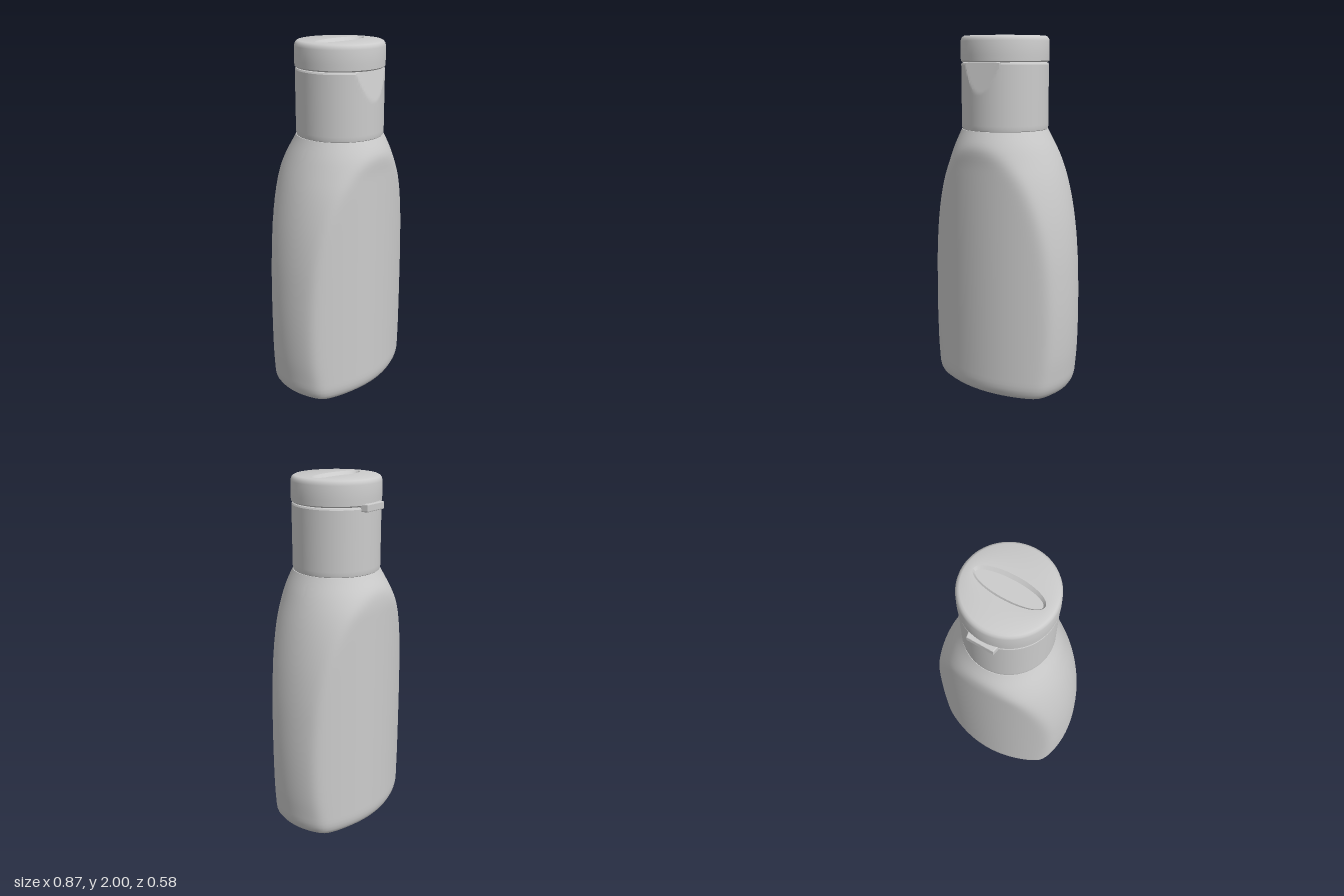
import * as THREE from 'three';
import { toCreasedNormals } from 'three/addons/utils/BufferGeometryUtils.js';

const SEG = 120;
const CAP_Z = 0.012; // the cap sits slightly forward of the bottle's centre
const material = new THREE.MeshStandardMaterial({ color: 0xcccccc });

// Skins a stack of closed rings; ring(row, angle) returns [x, y, z].
function loft(name, rows, ring, crease = 0.6) {
  const pos = [], index = [];
  rows.forEach((row, i) => {
    for (let j = 0; j < SEG; j++) {
      pos.push(...ring(row, (j / SEG) * Math.PI * 2));
      if (i === 0) continue;
      const k = (j + 1) % SEG, lo = (i - 1) * SEG, hi = i * SEG;
      index.push(lo + j, hi + j, lo + k, lo + k, hi + j, hi + k);
    }
  });
  let geometry = new THREE.BufferGeometry();
  geometry.setAttribute('position', new THREE.Float32BufferAttribute(pos, 3));
  geometry.setIndex(index);
  geometry = toCreasedNormals(geometry, crease);
  const mesh = new THREE.Mesh(geometry, material);
  mesh.name = name;
  return mesh;
}

// Bottle: a tapering oval trimmed by bowed front and back panels.
function createBottle() {
  // x = half width, y = height, z = half depth of the untrimmed oval
  const outline = new THREE.CatmullRomCurve3([
    [0.415, 0.1, 0.40], [0.428, 0.25, 0.41], [0.433, 0.45, 0.41], [0.428, 0.65, 0.41],
    [0.414, 0.85, 0.41], [0.386, 1.05, 0.39], [0.342, 1.24, 0.35],
    [0.29, 1.39, 0.296], [0.24, 1.5, 0.24],
  ].map(p => new THREE.Vector3(...p)));

  // Underside: [height, inset], from the recessed oval out to the rounded heel
  const heel = [
    [0.03, 1], [0.028, 0.135], [0.012, 0.122], [0.002, 0.105], [0, 0.085],
    [0.004, 0.06], [0.014, 0.037], [0.028, 0.02], [0.05, 0.008], [0.075, 0.002],
  ];
  const rows = heel.map(([y, inset]) => ({ w: 0.415 - 0.12 * (0.1 - y), y, d: 0.4, inset }));
  for (let i = 0; i <= 48; i++) {
    const p = outline.getPoint(i / 48);
    rows.push({ w: p.x, y: p.y, d: p.z, inset: 0 });
  }
  rows.push({ w: 0.2, y: 1.502, d: 0.2, inset: 0 });

  const depth = 0.288, bow = 0.78, sharpness = 40;
  return loft('bottle', rows, ({ w, y, d, inset }, t) => {
    const c = Math.cos(t), s = Math.sin(t);
    const oval = 1 / Math.hypot(c / w, s / d);
    const panel = 2 * depth / (Math.abs(s) + Math.sqrt(s * s + 4 * bow * depth * c * c));
    const trimmed = Math.pow(oval ** -sharpness + panel ** -sharpness, -1 / sharpness);
    const r = Math.max(0, trimmed - inset);
    // small mould-seam notches in the standing rim at both ends
    const notch = y < 0.02 ? 0.014 * Math.exp(-((s / 0.06) ** 2)) : 0;
    const shift = CAP_Z * THREE.MathUtils.smoothstep(y, 1.3, 1.5);
    return [r * c, y + notch, r * s + shift];
  }, 0.7);
}

// Cap collar: a cylinder with a slanted flat thumb cut at the front.
function createCollar() {
  const rows = [[0, 1.497], [0.232, 1.497], [0.238, 1.503], [0.24, 1.515]];
  for (let i = 0; i <= 28; i++) rows.push([0.24, 1.53 + 0.32 * i / 28]);
  rows.push([0.236, 1.858], [0.226, 1.861], [0, 1.861]);
  return loft('capCollar', rows, ([r, y], t) => {
    const cut = 0.24 - Math.max(0, y - 1.7) * 0.2;
    return [r * Math.cos(t), y, Math.min(r * Math.sin(t), cut) + CAP_Z];
  }, 0.25);
}

// Flip lid: rounded disc with an oval finger recess in the top.
function createLid() {
  // [x radius, z radius, height]
  const rows = [
    [0, 0, 1.862], [0.234, 0.234, 1.862], [0.242, 0.242, 1.869], [0.243, 0.243, 1.9],
    [0.242, 0.242, 1.972], [0.239, 0.239, 1.985], [0.232, 0.232, 1.995], [0.222, 0.222, 2],
    [0.186, 0.066, 2], [0.176, 0.05, 1.982], [0, 0, 1.982],
  ];
  return loft('lid', rows, ([rx, rz, y], t) => [rx * Math.cos(t), y, rz * Math.sin(t) + CAP_Z], 0.5);
}

// Hinge: a small tapered block bridging lid and collar at the back.
function createHinge() {
  const shape = new THREE.Shape([
    [-0.078, 0.2], [0.078, 0.2], [0.068, 0.244], [-0.068, 0.244],
  ].map(p => new THREE.Vector2(...p)));
  const geometry = new THREE.ExtrudeGeometry(shape, {
    depth: 0.03, bevelEnabled: true, bevelSize: 0.004, bevelThickness: 0.005, bevelSegments: 2,
  });
  geometry.rotateX(-Math.PI / 2);
  const mesh = new THREE.Mesh(geometry, material);
  mesh.position.y = 1.842;
  mesh.name = 'hinge';
  return mesh;
}

export function createModel() {
  const model = new THREE.Group();
  model.name = 'squeezeBottle';
  const cap = new THREE.Group();
  cap.name = 'flipCap';
  cap.add(createCollar(), createLid(), createHinge());
  model.add(createBottle(), cap);
  return model;
}
